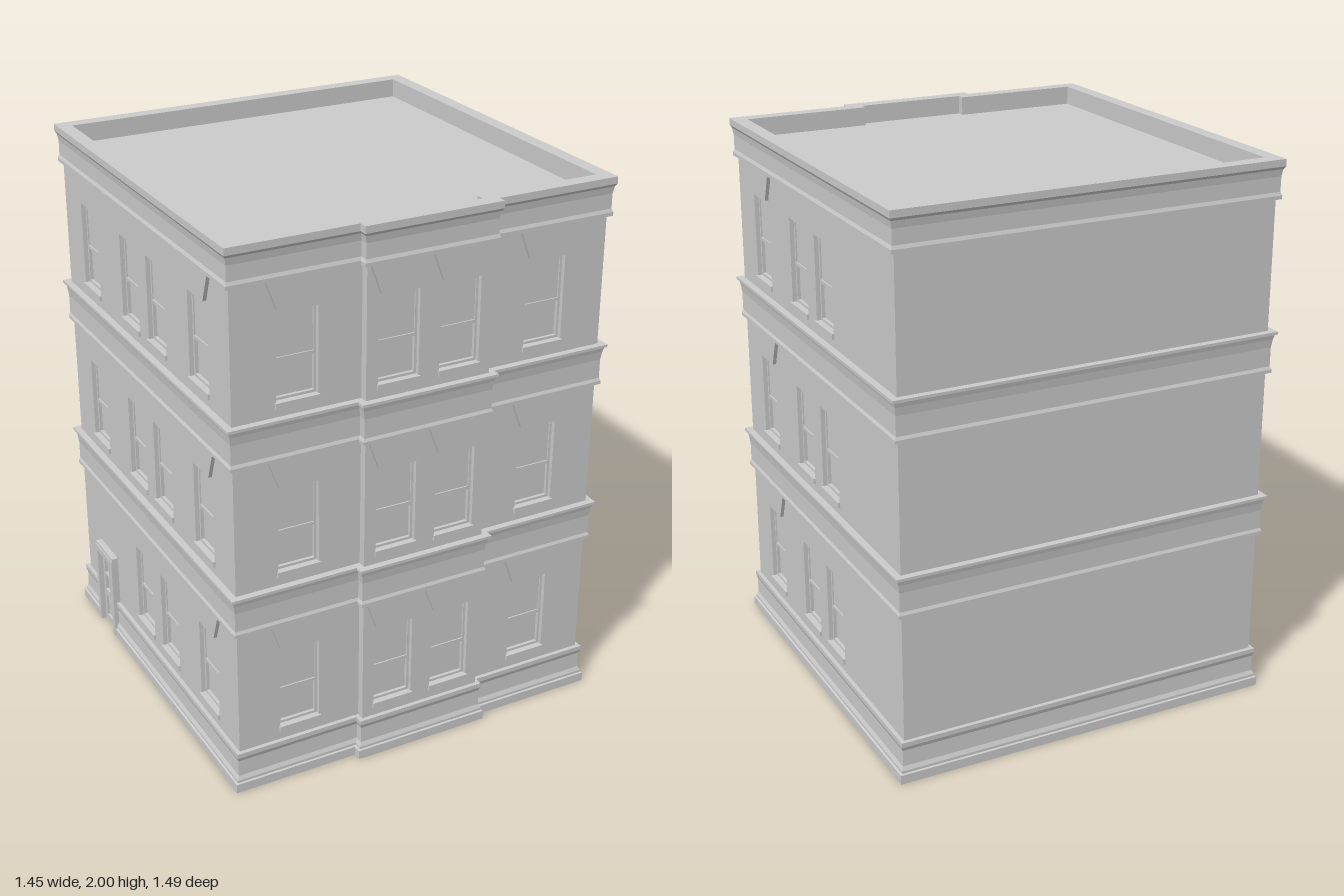
import * as THREE from 'three';

const mat = new THREE.MeshStandardMaterial({ color: 0xcccccc, side: THREE.DoubleSide });
const PITCH = 0.62;            // storey height
const WALL_LOW = 0.15, WALL_HIGH = 0.622;

// Wall outline (x, z), with a shallow projecting bay at the front
const footprint = [[-0.70, 0.688], [-0.235, 0.688], [-0.235, 0.718], [0.235, 0.718],
  [0.235, 0.688], [0.70, 0.688], [0.70, -0.72], [-0.70, -0.72]];
const DOOR_Z = -0.485, DOOR_W = 0.17;

function add(parent, name, geometry, x = 0, y = 0, z = 0) {
  const mesh = new THREE.Mesh(geometry, mat);
  mesh.name = name;
  mesh.position.set(x, y, z);
  parent.add(mesh);
  return mesh;
}

const box = (w, h, d) => new THREE.BoxGeometry(w, h, d);
const polygon = (pts) => new THREE.Shape(pts.map(([x, y]) => new THREE.Vector2(x, y)));
const rect = (x0, y0, x1, y1) => polygon([[x0, y0], [x1, y0], [x1, y1], [x0, y1]]);
const extrude = (shape, depth) => new THREE.ExtrudeGeometry(shape, { depth, bevelEnabled: false });

// Rectangular ring centred on the origin
function ring(w, h, t, depth) {
  const s = rect(-w / 2, -h / 2, w / 2, h / 2);
  s.holes.push(rect(-w / 2 + t, -h / 2 + t, w / 2 - t, h / 2 - t));
  return extrude(s, depth);
}

function outward(a, b) {
  const l = Math.hypot(b[0] - a[0], b[1] - a[1]);
  return [-(b[1] - a[1]) / l, (b[0] - a[0]) / l];
}

// Path moved outward by d, with mitred right-angle corners
function offset(path, d, closed) {
  const n = path.length;
  return path.map((p, i) => {
    const before = closed || i > 0 ? outward(path[(i + n - 1) % n], p) : [0, 0];
    const after = closed || i < n - 1 ? outward(p, path[(i + 1) % n]) : [0, 0];
    return [p[0] + d * (before[0] + after[0]), p[1] + d * (before[1] + after[1])];
  });
}

// Moulding: profile points [outward distance, y] swept along the path
function moulding(path, profile, closed) {
  const rows = profile.map(([d, y]) => offset(path, d, closed).map(([x, z]) => [x, y, z]));
  const pos = [], n = path.length;
  for (let j = 0; j < rows.length - 1; j++) {
    for (let i = 0; i < (closed ? n : n - 1); i++) {
      const k = (i + 1) % n;
      const a = rows[j][i], b = rows[j][k], c = rows[j + 1][k], e = rows[j + 1][i];
      pos.push(...a, ...b, ...c, ...a, ...c, ...e);
    }
  }
  const g = new THREE.BufferGeometry();
  g.setAttribute('position', new THREE.Float32BufferAttribute(pos, 3));
  g.computeVertexNormals();
  return g;
}

// Sash window, set back in the wall; y0 is the bottom of the opening
const WIN_W = 0.152, WIN_H = 0.305, WIN_Y = 0.205;
function makeWindow(x, y0, withLintel) {
  const g = new THREE.Group();
  g.name = 'window';
  g.position.set(x, y0, 0);
  const mid = WIN_H / 2, rail = 0.14;
  add(g, 'reveal', ring(WIN_W + 0.004, WIN_H + 0.004, 0.002, 0.034), 0, mid, -0.034);
  add(g, 'windowFrame', ring(WIN_W, WIN_H, 0.009, 0.014), 0, mid, -0.03);
  add(g, 'upperGlass', box(WIN_W - 0.01, WIN_H - rail, 0.004), 0, (WIN_H + rail) / 2, -0.023);
  add(g, 'lowerGlass', box(WIN_W - 0.01, rail, 0.004), 0, rail / 2, -0.03);
  add(g, 'meetingRail', box(WIN_W - 0.016, 0.012, 0.012), 0, rail, -0.022);
  add(g, 'sill', box(WIN_W + 0.008, 0.02, 0.038), 0, -0.01, -0.011);
  if (withLintel) {
    // Flared lintel reaching up to the band above
    const top = WALL_HIGH - WIN_Y, low = WIN_H + 0.014;
    add(g, 'lintel', extrude(polygon([[-0.074, low], [0.074, low], [0.11, top], [-0.11, top]]), 0.013));
  }
  return g;
}

// Panelled side door with surround
function makeDoor(x) {
  const g = new THREE.Group();
  g.name = 'door';
  g.position.x = x;
  const w = DOOR_W / 2, h = 0.34, t = 0.022, i = w - t;
  add(g, 'doorSurround', extrude(polygon([[-w, 0], [-i, 0], [-i, h - t], [i, h - t],
    [i, 0], [w, 0], [w, h], [-w, h]]), 0.05), 0, 0, -0.022);
  add(g, 'doorCap', box(DOOR_W, 0.012, 0.045), 0, h + 0.005, 0.002);
  const leaf = rect(-i, 0, i, h - t);
  leaf.holes.push(rect(-0.046, 0.025, 0.046, 0.115));
  for (const side of [-1, 1]) {
    for (const y of [0.145, 0.222]) {
      const a = side * 0.005, b = side * 0.046;
      leaf.holes.push(rect(Math.min(a, b), y, Math.max(a, b), y + 0.068));
    }
  }
  add(g, 'doorLeaf', extrude(leaf, 0.014), 0, 0, -0.006);
  add(g, 'doorPanels', box(2 * i, h - t, 0.004), 0, (h - t) / 2, -0.006);
  add(g, 'doorPanelField', box(0.07, 0.068, 0.01), 0, 0.07, -0.001);
  return g;
}

// One storey of one wall face, with its openings; local x runs along the wall
function makeWall(a, b, storey, openings, doorX) {
  const g = new THREE.Group();
  const n = outward(a, b);
  g.name = 'wall';
  g.position.set((a[0] + b[0]) / 2, storey * PITCH, (a[1] + b[1]) / 2);
  g.rotation.y = Math.atan2(n[0], n[1]);
  const half = Math.hypot(b[0] - a[0], b[1] - a[1]) / 2;
  const notch = doorX === undefined ? [] : [[doorX - 0.07, WALL_LOW], [doorX - 0.07, 0.33],
    [doorX + 0.07, 0.33], [doorX + 0.07, WALL_LOW]];
  const shape = polygon([[-half, WALL_LOW], ...notch, [half, WALL_LOW], [half, WALL_HIGH], [-half, WALL_HIGH]]);
  for (const [x, lintel] of openings) {
    shape.holes.push(rect(x - WIN_W / 2, WIN_Y, x + WIN_W / 2, WIN_Y + WIN_H));
    g.add(makeWindow(x, WIN_Y, lintel));
  }
  add(g, 'wallFace', new THREE.ShapeGeometry(shape));
  if (doorX !== undefined) g.add(makeDoor(doorX));
  return g;
}

export function createModel() {
  const model = new THREE.Group();
  model.name = 'building';
  const midZ = -0.016;
  const doorX = DOOR_Z - midZ;

  // Openings by wall face, in footprint order: [local x, has lintel]
  const openings = {
    0: [[0.0, true]],
    2: [[-0.115, true], [0.115, true]],
    4: [[-0.003, true]],
    5: [[midZ - 0.457, true], [midZ - 0.10, false], [midZ + 0.13, false]],
    7: [[-0.12 - midZ, false], [0.11 - midZ, false], [0.452 - midZ, true]],
  };
  for (let storey = 0; storey < 3; storey++) {
    footprint.forEach((p, i) => {
      const hasDoor = i === 7 && storey === 0;
      const list = [...(openings[i] || [])];
      if (i === 7 && !hasDoor) list.push([doorX, false]);
      model.add(makeWall(p, footprint[(i + 1) % 8], storey, list, hasDoor ? doorX : undefined));
    });
  }

  // Plinth, interrupted by the door
  const plinthPath = [[-0.70, DOOR_Z + DOOR_W / 2], ...footprint, [-0.70, DOOR_Z - DOOR_W / 2]];
  add(model, 'plinth', moulding(plinthPath, [[0.025, 0], [0.025, 0.034], [0.018, 0.036],
    [0.018, 0.045], [0.011, 0.06], [0.01, 0.12], [0.015, 0.135], [0.015, 0.152], [0, 0.152]], false));

  // Bands between the storeys
  for (const y of [0, PITCH]) {
    add(model, 'storeyBand', moulding(footprint, [[0, 0.622], [0.015, 0.622], [0.015, 0.634],
      [0.01, 0.645], [0.01, 0.715], [0.014, 0.745], [0.018, 0.762], [0.025, 0.764],
      [0.025, 0.774], [0, 0.774]].map(([d, h]) => [d, h + y]), true));
  }

  // Parapet and roof
  const roofY = 1.932;
  add(model, 'parapet', moulding(footprint, [[0, 1.862], [0.015, 1.862], [0.015, 1.875],
    [0.01, 1.887], [0.01, 1.94], [0.014, 1.965], [0.02, 1.975], [0.02, 2], [-0.032, 2],
    [-0.032, roofY]], true));
  const roof = polygon(offset(footprint, -0.032, true).map(([x, z]) => [x, -z]));
  add(model, 'roof', new THREE.ShapeGeometry(roof).rotateX(-Math.PI / 2), 0, roofY, 0);
  return model;
}
